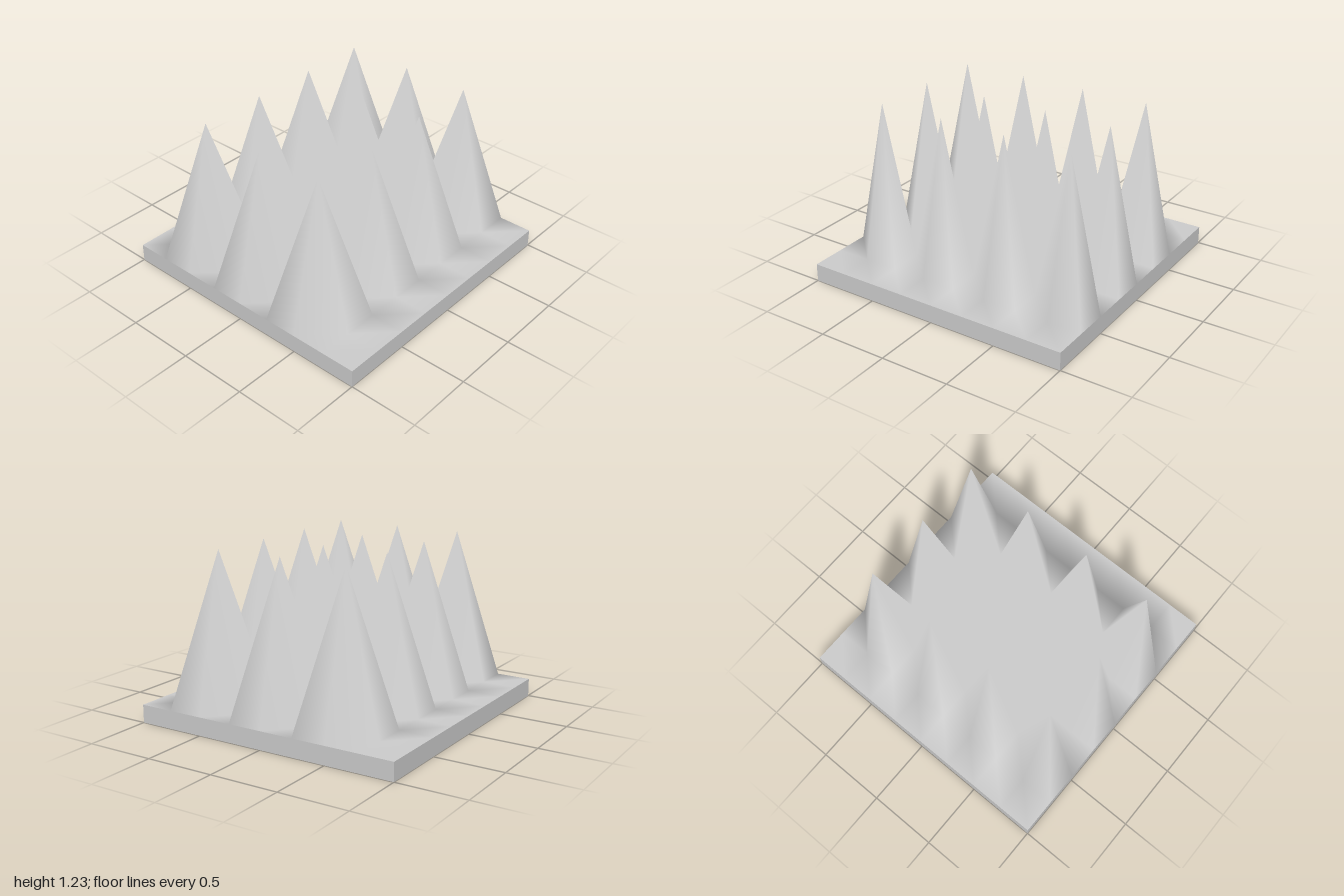
import * as THREE from 'three';

const CELLS = 8, STEP = 0.25, BASE = 0.13, PEAK = 1.23;

// Height of a grid point: 3 x 4 spikes, valleys in between
function heightAt(i, j) {
  const isPeak = j % 2 === 1 && i % 2 === 0 && i > 0 && i < CELLS;
  return isPeak ? PEAK : BASE;
}

// Smooth-shaded height field; one diagonal direction makes each spike six-sided
function spikeSurface() {
  const positions = [], index = [], row = CELLS + 1;
  for (let j = 0; j <= CELLS; j++) {
    for (let i = 0; i <= CELLS; i++) {
      positions.push(i * STEP - 1, heightAt(i, j), j * STEP - 1);
    }
  }
  for (let j = 0; j < CELLS; j++) {
    for (let i = 0; i < CELLS; i++) {
      const a = j * row + i, b = a + 1, c = a + row, d = c + 1;
      index.push(a, c, b, b, c, d);
    }
  }
  const geometry = new THREE.BufferGeometry();
  geometry.setAttribute('position', new THREE.Float32BufferAttribute(positions, 3));
  geometry.setIndex(index);
  geometry.computeVertexNormals();
  return geometry;
}

// Box without its top face, which the spike surface closes
function openBase() {
  const geometry = new THREE.BoxGeometry(2, BASE, 2).translate(0, BASE / 2, 0);
  const index = Array.from(geometry.index.array);
  index.splice(12, 6);
  geometry.setIndex(index);
  geometry.clearGroups();
  return geometry;
}

export function createModel() {
  const group = new THREE.Group();
  group.name = 'spikePlate';
  const material = new THREE.MeshStandardMaterial({ color: 0xcccccc });

  const base = new THREE.Mesh(openBase(), material);
  base.name = 'basePlate';
  const spikes = new THREE.Mesh(spikeSurface(), material);
  spikes.name = 'spikes';

  group.add(base, spikes);
  return group;
}
